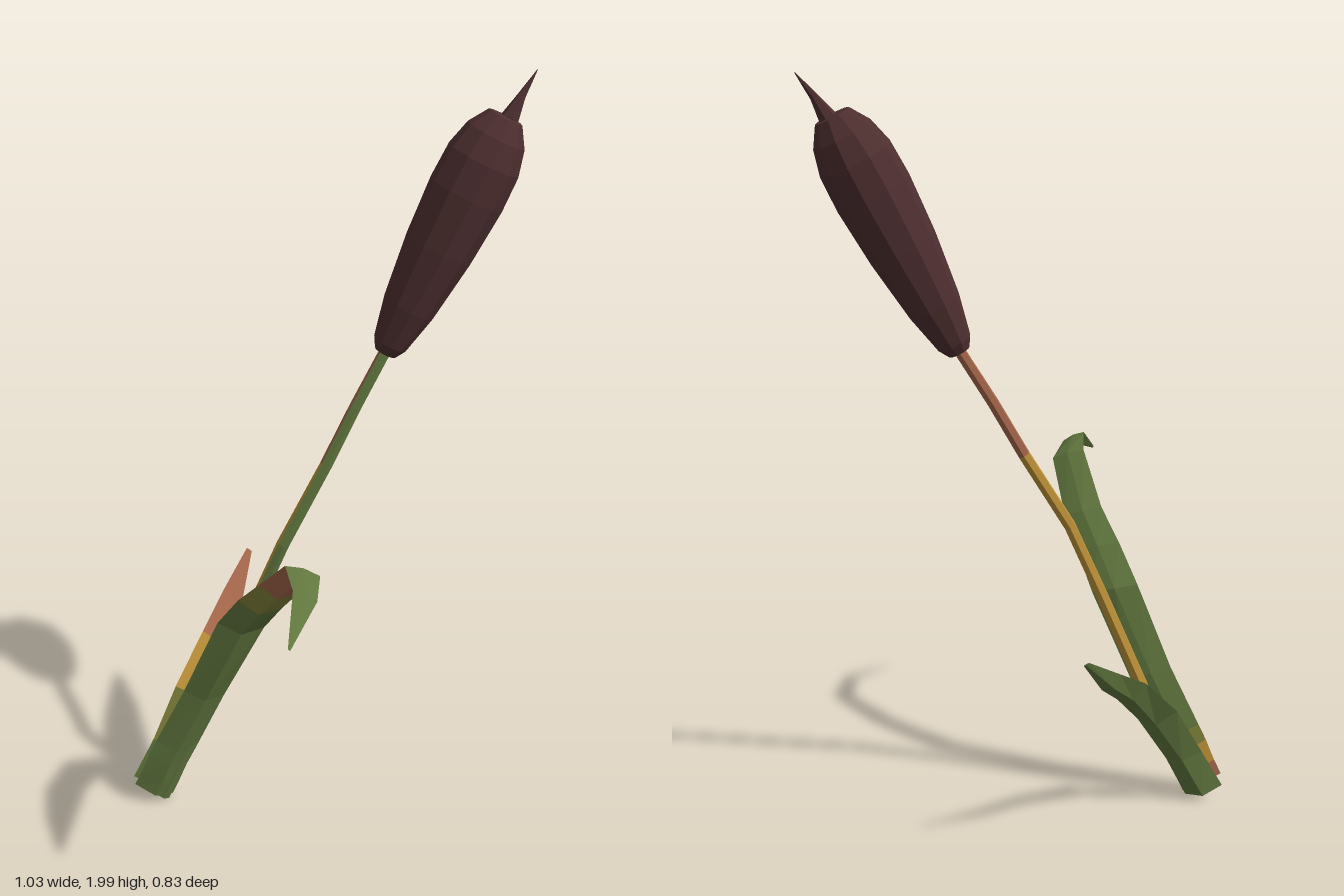
import * as THREE from 'three';

const V = (x, y, z) => new THREE.Vector3(x, y, z);
const mat = (name, color) => {
  const m = new THREE.MeshStandardMaterial({ color, flatShading: true });
  m.name = name;
  return m;
};

// Skin a list of equal rings (counter-clockwise about the path), one material per face
function loft(name, rings, pick) {
  const buckets = new Map();
  const tri = (m, ...pts) => {
    if (!buckets.has(m)) buckets.set(m, []);
    pts.forEach((p) => buckets.get(m).push(p.x, p.y, p.z));
  };
  const n = rings[0].length, last = rings.length - 1;
  for (let i = 0; i < last; i++) {
    for (let j = 0; j < n; j++) {
      const k = (j + 1) % n, m = pick(i, j);
      const a = rings[i][j], b = rings[i][k], c = rings[i + 1][k], d = rings[i + 1][j];
      tri(m, a, b, c);
      tri(m, a, c, d);
    }
  }
  // End caps
  for (let j = 1; j < n - 1; j++) {
    tri(pick(0, 0), rings[0][0], rings[0][j + 1], rings[0][j]);
    tri(pick(last - 1, 0), rings[last][0], rings[last][j], rings[last][j + 1]);
  }
  const geo = new THREE.BufferGeometry(), pos = [], mats = [];
  for (const [m, list] of buckets) {
    geo.addGroup(pos.length / 3, list.length / 3, mats.length);
    mats.push(m);
    pos.push(...list);
  }
  geo.setAttribute('position', new THREE.Float32BufferAttribute(pos, 3));
  geo.computeVertexNormals();
  const mesh = new THREE.Mesh(geo, mats);
  mesh.name = name;
  return mesh;
}

// Leaf from pairs of edge points, with a deep keel below and a low ridge above
function leaf(name, stations, pick) {
  const pts = stations.map((s) => [V(s[0], s[1], s[2]), V(s[3], s[4], s[5])]);
  const mid = pts.map(([a, b]) => a.clone().add(b).multiplyScalar(0.5));
  const rings = pts.map(([a, b], i) => {
    const d = mid[Math.min(i + 1, mid.length - 1)].clone().sub(mid[Math.max(i - 1, 0)]);
    const w = b.clone().sub(a);
    const nrm = d.cross(w).normalize();
    const width = w.length();
    const keel = mid[i].clone().addScaledVector(nrm, width * 0.27);
    const ridge = mid[i].clone().addScaledVector(nrm, -width * 0.08);
    return [b, keel, a, ridge];
  });
  return loft(name, rings, (i, j) => pick(i, j > 1));
}

export function createModel() {
  const green = mat('leafGreen', 0x62783f);
  const olive = mat('olive', 0x80803a);
  const gold = mat('gold', 0xbd9138);
  const rust = mat('rust', 0xa5664a);
  const brown = mat('seedBrown', 0x4e2f30);
  const group = new THREE.Group();
  group.name = 'reed';

  // Tall leaf arching to the front
  const archTop = [rust, gold, olive];
  const archUnder = { 5: olive, 6: rust };
  group.add(leaf('archingLeaf', [
    [-0.42, 0.01, -0.22, -0.515, 0.06, -0.265],
    [-0.405, 0.05, -0.21, -0.5, 0.1, -0.252],
    [-0.385, 0.11, -0.195, -0.48, 0.16, -0.238],
    [-0.365, 0.16, -0.18, -0.462, 0.205, -0.226],
    [-0.3, 0.34, -0.125, -0.4, 0.37, -0.172],
    [-0.23, 0.575, -0.03, -0.335, 0.6, -0.095],
    [-0.226, 0.67, 0.045, -0.32, 0.7, -0.02],
    [-0.227, 0.75, 0.118, -0.31, 0.78, 0.06],
    [-0.262, 0.875, 0.25, -0.33, 0.905, 0.195],
    [-0.355, 0.885, 0.353, -0.4, 0.915, 0.315],
    [-0.486, 0.828, 0.412, -0.49, 0.833, 0.408],
  ], (i, top) => (top ? archTop[i] : archUnder[i - 1]) || green));

  // Short leaf leaning away to the back
  const backTop = [green, olive, gold, rust, rust];
  group.add(leaf('backLeaf', [
    [-0.49, 0.05, -0.308, -0.415, 0.01, -0.24],
    [-0.43, 0.16, -0.29, -0.36, 0.125, -0.222],
    [-0.345, 0.3, -0.293, -0.275, 0.257, -0.206],
    [-0.225, 0.42, -0.322, -0.175, 0.36, -0.26],
    [-0.115, 0.49, -0.37, -0.085, 0.435, -0.33],
    [0.005, 0.565, -0.415, 0.015, 0.555, -0.405],
  ], (i, top) => (top ? backTop[i] : green)));

  // Six-sided stem, green in front and dry behind
  const path = [
    V(-0.45, 0.015, -0.225), V(-0.33, 0.29, -0.168), V(-0.225, 0.585, -0.095),
    V(-0.145, 0.79, -0.052), V(-0.022, 1.0, -0.02), V(0.06, 1.15, 0.0), V(0.155, 1.31, 0.022),
  ];
  const stemRings = path.map((p, i) => {
    const d = path[Math.min(i + 1, path.length - 1)].clone().sub(path[Math.max(i - 1, 0)]).normalize();
    const u = V(1, 0, 0).addScaledVector(d, -d.x).normalize();
    const v = d.clone().cross(u);
    const r = 0.019 - 0.0006 * i;
    return Array.from({ length: 6 }, (_, j) => {
      const t = (j * Math.PI) / 3;
      return p.clone().addScaledVector(u, r * Math.cos(t)).addScaledVector(v, r * Math.sin(t));
    });
  });
  const dry = [olive, gold, gold, gold, rust, rust];
  group.add(loft('stem', stemRings, (i, j) => (j < 3 ? dry[i] : green)));

  // Seed head: faceted lathe turned onto its slanted axis
  const foot = V(0.145, 1.29, 0.02), crown = V(0.428, 1.895, 0.143);
  const axis = crown.clone().sub(foot), len = axis.length();
  const profile = [
    [0, 0], [0.03, 0], [0.046, 0.04], [0.07, 0.2], [0.091, 0.45], [0.101, 0.68],
    [0.098, 0.82], [0.08, 0.92], [0.047, 0.995], [0, 1],
  ].map(([r, t]) => new THREE.Vector2(r, t * len));
  const head = new THREE.Mesh(new THREE.LatheGeometry(profile, 10).toNonIndexed(), brown);
  head.geometry.computeVertexNormals();
  head.name = 'seedHead';
  head.position.copy(foot);
  head.quaternion.setFromUnitVectors(V(0, 1, 0), axis.normalize());
  group.add(head);

  // Bent spike on the crown
  const spikePath = [[V(0.435, 1.885, 0.146), 0.025], [V(0.468, 1.94, 0.153), 0.011], [V(0.513, 2.0, 0.16), 0.001]];
  const side = V(0.8, -0.6, 0), depth = V(0.6, 0.8, 0).cross(side);
  group.add(loft('spike', spikePath.map(([p, r]) => Array.from({ length: 6 }, (_, j) => {
    const t = (j * Math.PI) / 3;
    return p.clone().addScaledVector(side, r * Math.cos(t)).addScaledVector(depth, r * Math.sin(t));
  })), () => brown));

  return group;
}
